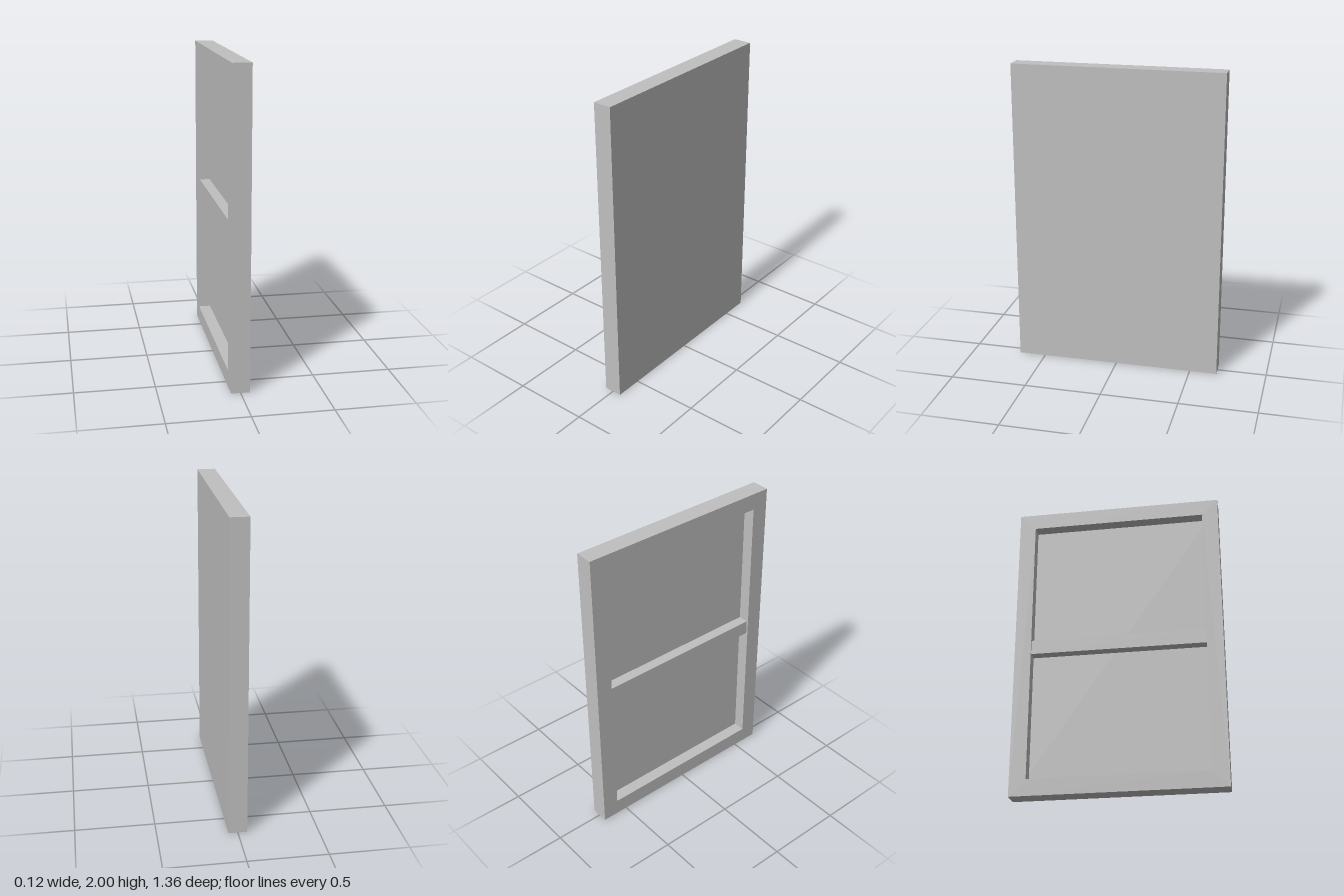
import * as THREE from 'three';

const HEIGHT = 2, WIDTH = 1.356, THICK = 0.118; // overall size (y, z, x)
const BORDER = 0.107;                           // visible width of the frame
const FACE = 0.02;                              // x of the recessed panel face

export function createModel() {
  const group = new THREE.Group();
  group.name = 'framedPanel';
  const grey = new THREE.MeshStandardMaterial({ color: 0xc0c0c0 });
  grey.name = 'plain grey';

  const add = (name, geometry, x, y) => {
    const mesh = new THREE.Mesh(geometry, grey);
    mesh.name = name;
    mesh.position.set(x, y, 0);
    group.add(mesh);
  };

  // Rectangle outline, centred on z and the given height
  const rect = (Type, w, h) => {
    const r = new Type();
    r.moveTo(-w / 2, -h / 2).lineTo(w / 2, -h / 2).lineTo(w / 2, h / 2).lineTo(-w / 2, h / 2).closePath();
    return r;
  };

  // Solid panel, flush on the +x side
  const panelThick = THICK / 2 - FACE;
  add('panel', new THREE.BoxGeometry(panelThick, HEIGHT, WIDTH), FACE + panelThick / 2, HEIGHT / 2);

  // Surrounding frame, standing proud on the -x side
  const outline = rect(THREE.Shape, WIDTH, HEIGHT);
  outline.holes.push(rect(THREE.Path, WIDTH - 2 * BORDER, HEIGHT - 2 * BORDER));
  const frame = new THREE.ExtrudeGeometry(outline, { depth: THICK / 2 + FACE, bevelEnabled: false });
  frame.rotateY(-Math.PI / 2);
  add('frame', frame, FACE, HEIGHT / 2);

  // Middle rail, set slightly behind the frame
  const railDepth = 0.068;
  add('middleRail', new THREE.BoxGeometry(railDepth, 0.095, WIDTH - 2 * BORDER), FACE - railDepth / 2, HEIGHT / 2);

  return group;
}
